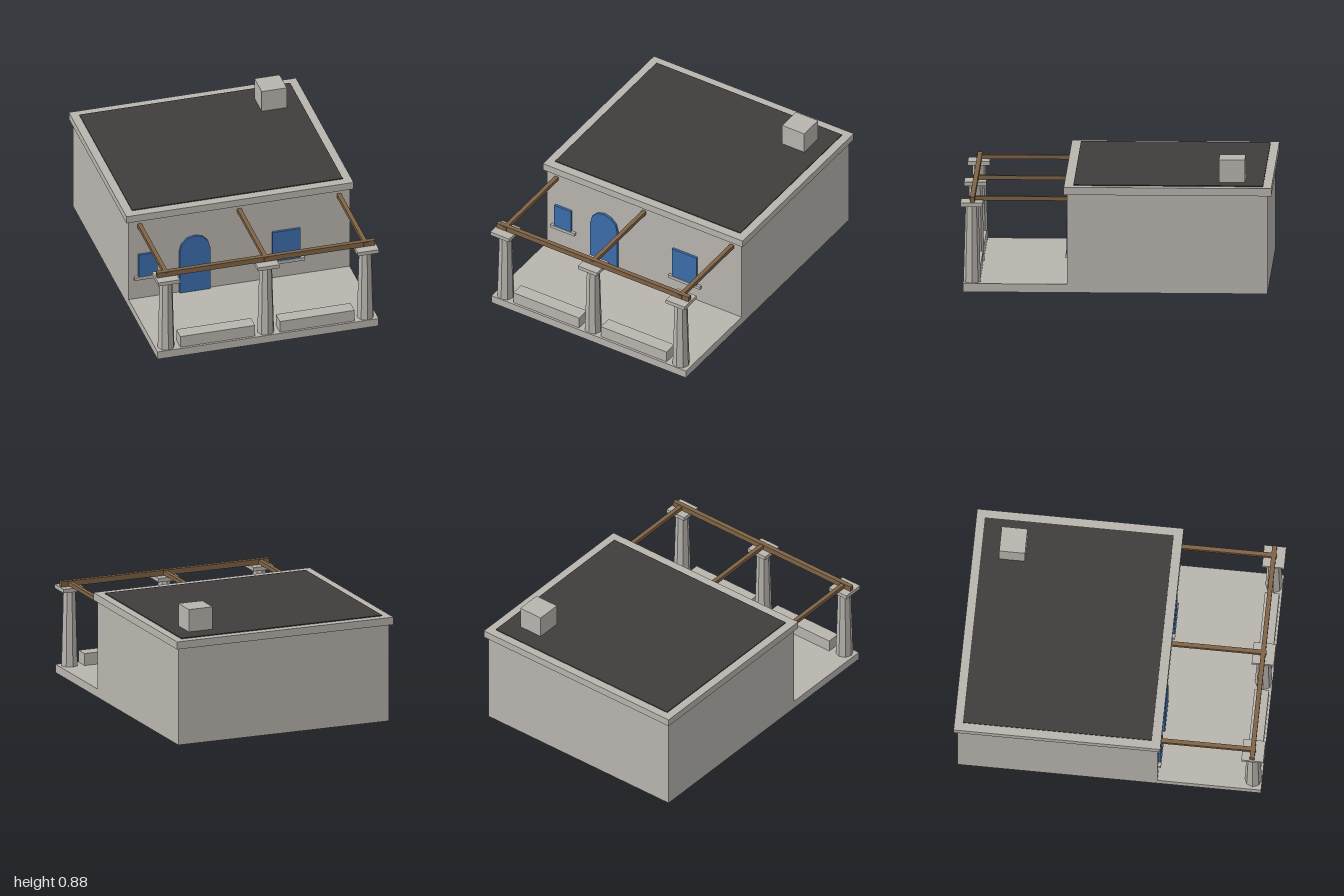
import * as THREE from 'three';

const material = (name, color) => {
  const m = new THREE.MeshStandardMaterial({ color });
  m.name = name;
  return m;
};

export function createModel() {
  const model = new THREE.Group();
  model.name = 'houseWithPergola';
  const plaster = material('plaster', 0xb9b5af);
  const roofing = material('darkRoofing', 0x413d3b);
  const wood = material('wood', 0x7f6345);
  const paint = material('bluePaint', 0x3c6dab);

  const add = (name, geometry, mat) => {
    const mesh = new THREE.Mesh(geometry, mat);
    mesh.name = name;
    model.add(mesh);
    return mesh;
  };
  // Box given by its extents along each axis
  const box = (name, mat, [x0, x1], [y0, y1], [z0, z1]) => {
    const mesh = add(name, new THREE.BoxGeometry(x1 - x0, y1 - y0, z1 - z0), mat);
    mesh.position.set((x0 + x1) / 2, (y0 + y1) / 2, (z0 + z1) / 2);
    return mesh;
  };

  // Floor, walls and flat roof
  box('floorSlab', plaster, [-0.74, 0.74], [0.025, 0.08], [-0.975, 0.985]);
  box('walls', plaster, [-0.74, 0.74], [0.08, 0.67], [-0.975, 0.315]);
  box('roofSlab', plaster, [-0.76, 0.76], [0.67, 0.72], [-1, 0.335]);
  box('roofCovering', roofing, [-0.705, 0.705], [0.72, 0.726], [-0.945, 0.275]);
  box('chimney', plaster, [0.432, 0.6], [0.72, 0.875], [-0.825, -0.658]);

  // Arched door
  const arch = new THREE.Shape();
  arch.moveTo(-0.102, 0.08);
  arch.lineTo(0.102, 0.08);
  for (let i = 0; i <= 6; i++) {
    const a = (i / 6) * Math.PI;
    arch.lineTo(0.102 * Math.cos(a), 0.392 + 0.102 * Math.sin(a));
  }
  arch.closePath();
  const door = add('door', new THREE.ExtrudeGeometry(arch, { depth: 0.016, bevelEnabled: false }), paint);
  door.position.set(-0.3, 0, 0.315);
  box('doorSill', plaster, [-0.43, -0.17], [0, 0.025], [0.312, 0.326]);

  // Windows with sills
  for (const [x0, x1, y0, y1] of [[-0.676, -0.55, 0.248, 0.413], [0.22, 0.405, 0.21, 0.43]]) {
    box('window', paint, [x0, x1], [y0, y1], [0.315, 0.331]);
    box('windowSill', plaster, [x0 - 0.029, x1 + 0.029], [y0 - 0.022, y0], [0.315, 0.335]);
  }

  // Eight-sided tapered columns, capitals and joists
  for (const x of [-0.667, 0, 0.667]) {
    const shaft = new THREE.CylinderGeometry(0.042, 0.056, 0.505, 8).toNonIndexed();
    shaft.computeVertexNormals();
    add('column', shaft, plaster).position.set(x, 0.3325, 0.928);
    box('capital', plaster, [x - 0.072, x + 0.072], [0.583, 0.609], [0.857, 1]);
    box('joist', wood, [x - 0.014, x + 0.014], [0.615, 0.641], [0.315, 0.945]);
  }
  box('frontBeam', wood, [-0.73, 0.73], [0.609, 0.645], [0.91, 0.94]);

  // Low benches between the columns
  for (const s of [-1, 1]) {
    const bench = box('bench', plaster, [-0.25, 0.25], [0.08, 0.16], [0.877, 0.97]);
    bench.position.x = s * 0.333;
  }
  return model;
}
